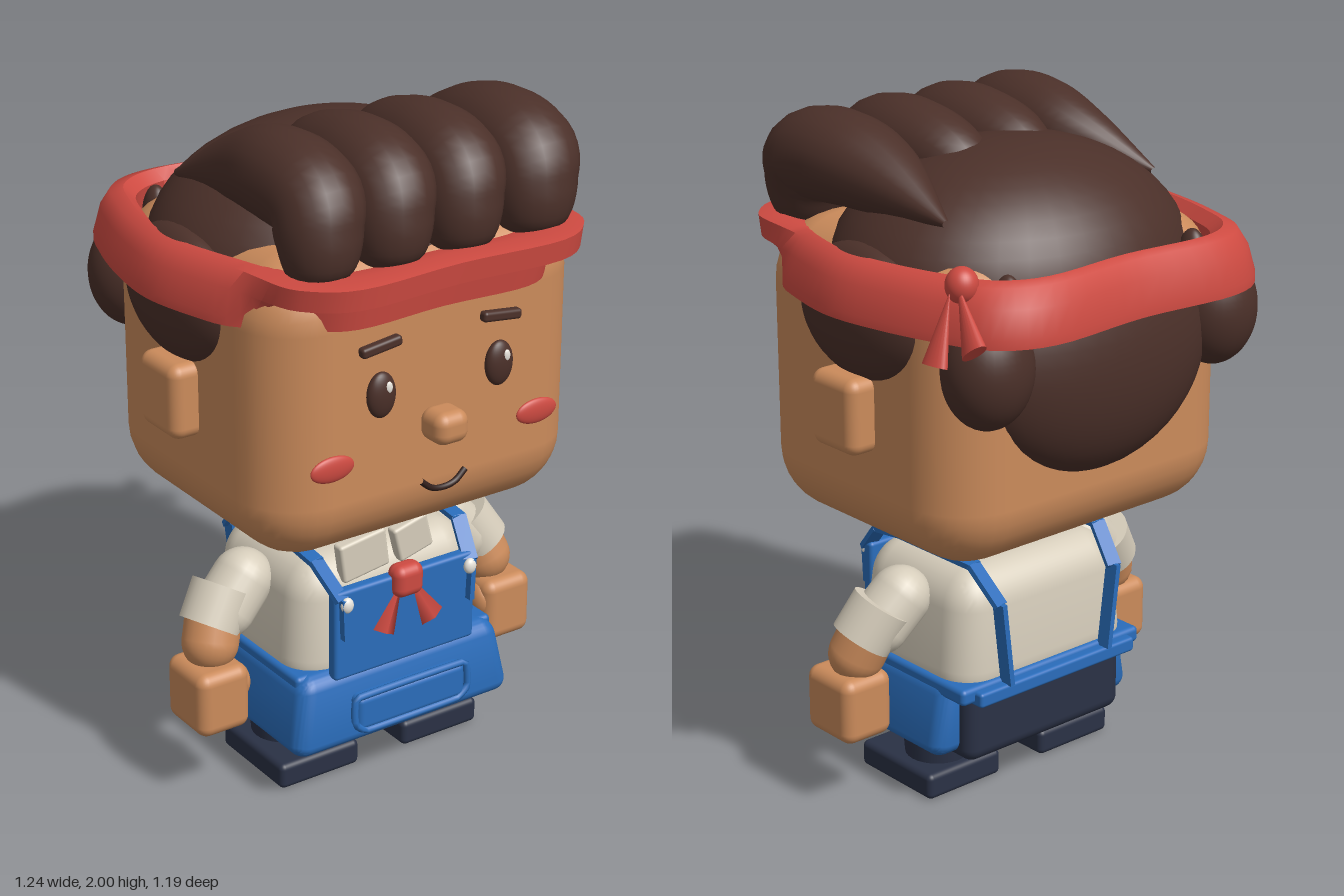
import * as THREE from 'three';
import { RoundedBoxGeometry } from 'three/addons/geometries/RoundedBoxGeometry.js';
import { toCreasedNormals } from 'three/addons/utils/BufferGeometryUtils.js';

const V = (x, y, z) => new THREE.Vector3(x, y, z);
const colours = {
  skin: 0xcb8b5b, hair: 0x4b3029, red: 0xcd4a41, blue: 0x2a6dbb,
  cream: 0xd6cdbb, navy: 0x2a3145, white: 0xf0ece4, mouth: 0x33201c,
};
const mats = {};
for (const [name, color] of Object.entries(colours)) {
  mats[name] = new THREE.MeshStandardMaterial({ color });
  mats[name].name = name;
}

// Closed-around surface from a rule fn(u, v); v always wraps, u wraps if asked
function surface(nu, nv, wrapU, fn) {
  const pos = [], idx = [];
  const rows = wrapU ? nu : nu + 1;
  for (let i = 0; i < rows; i++)
    for (let j = 0; j < nv; j++) pos.push(...fn(i / nu, j / nv).toArray());
  for (let i = 0; i < nu; i++)
    for (let j = 0; j < nv; j++) {
      const k = (i + 1) % rows, l = (j + 1) % nv;
      const a = i * nv + j, b = i * nv + l, c = k * nv + l, d = k * nv + j;
      idx.push(a, b, d, b, c, d);
    }
  const g = new THREE.BufferGeometry();
  g.setAttribute('position', new THREE.Float32BufferAttribute(pos, 3));
  g.setIndex(idx);
  g.computeVertexNormals();
  return g;
}

// Hair lock: a swept tube swelling at the front and tapering to the crown
function lockGeometry(x, width, backZ, tipX) {
  const rows = [[0.43, 1.64, 0], [0.43, 1.67, 0.085], [0.415, 1.77, 0.118], [0.36, 1.85, 0.13],
    [0.2, 1.87, 0.13], [0.02, 1.84, 0.1], [backZ, 1.78, 0.01]];
  const lean = [-0.01, -0.01, 0, 0.02, 0.025, 0.02, tipX - x];
  const path = new THREE.CatmullRomCurve3(rows.map((r, i) => V(x + lean[i], r[1], r[0])), false, 'catmullrom');
  const radius = new THREE.CatmullRomCurve3(rows.map(r => V(r[2], 0, 0)), false, 'catmullrom');
  return surface(36, 20, false, (u, v) => {
    const p = path.getPoint(u), t = path.getTangent(u).setX(0).normalize();
    const n = t.cross(V(1, 0, 0)), r = Math.max(0.0005, radius.getPoint(u).x), a = v * Math.PI * 2;
    return p.addScaledVector(n, r * Math.sin(a)).add(V(r * width * Math.cos(a), 0, 0));
  });
}

// Headband: folded section carried round a soft square outline, raised at the front
function bandGeometry() {
  const half = [[0.32, -0.6], [0.48, -0.53], [0.55, -0.38], [0.6, -0.19], [0.62, 0],
    [0.58, 0.2], [0.52, 0.38], [0.46, 0.51], [0.32, 0.59]];
  const pts = [[0, -0.58], ...half, [0, 0.575], ...half.slice().reverse().map(([x, z]) => [-x, z])];
  const outline = new THREE.CatmullRomCurve3(pts.map(([x, z]) => V(x, 0, z)), true, 'catmullrom');
  const side = [[0.84, 1.52], [1, 1.52], [1, 1.545], [0.97, 1.62], [0.925, 1.67], [0.87, 1.68], [0.82, 1.65]];
  const front = [[0.74, 1.52], [0.85, 1.52], [0.87, 1.6], [0.99, 1.61], [1, 1.67], [0.9, 1.68], [0.76, 1.66]];
  const g = surface(96, 7, true, (u, v) => {
    const p = outline.getPoint(u), j = Math.round(v * 7);
    const f = THREE.MathUtils.smoothstep(p.z, 0.25, 0.5);
    const s = THREE.MathUtils.lerp(side[j][0], front[j][0], f);
    return V(p.x * s, THREE.MathUtils.lerp(side[j][1], front[j][1], f), p.z * s);
  });
  return toCreasedNormals(g, 0.9);
}

export function createModel() {
  const model = new THREE.Group();
  model.name = 'figure';
  const add = (name, geo, mat, p = [0, 0, 0], rot = [0, 0, 0], scale = [1, 1, 1]) => {
    const m = new THREE.Mesh(geo, mats[mat]);
    m.name = name;
    m.position.set(...p);
    m.rotation.set(...rot);
    m.scale.set(...scale);
    model.add(m);
    return m;
  };
  const box = (name, mat, p, size, r = 0.02, rot) => add(name, new RoundedBoxGeometry(...size, 4, r), mat, p, rot);
  const ball = (name, mat, p, radii, rot) => add(name, new THREE.SphereGeometry(1, 36, 24), mat, p, rot, radii);
  const tube = (name, mat, pts, r, closed = false, tension = 0.5) => add(name,
    new THREE.TubeGeometry(new THREE.CatmullRomCurve3(pts.map(p => V(...p)), closed, 'catmullrom', tension), 48, r, 8, closed), mat);
  // Stretches a shape made along y between two points
  const between = (name, mat, geo, a, b, scale = [1, 1, 1]) => {
    const A = V(...a), B = V(...b), m = add(name, geo, mat, [0, 0, 0], [0, 0, 0], scale);
    m.position.copy(A).add(B).multiplyScalar(0.5);
    m.quaternion.setFromUnitVectors(V(0, 1, 0), B.sub(A).normalize());
    return m;
  };

  // Head and face
  box('head', 'skin', [0, 1.26, 0.02], [1.06, 0.88, 0.9], 0.19);
  box('nose', 'skin', [0, 1.183, 0.505], [0.11, 0.095, 0.11], 0.035);
  tube('mouth', 'mouth', [[-0.075, 1.03, 0.503], [-0.04, 1.003, 0.505], [0, 0.995, 0.505], [0.04, 1.003, 0.505], [0.075, 1.03, 0.503]], 0.009);
  box('neck', 'skin', [0, 0.75, 0.02], [0.24, 0.2, 0.24], 0.04);
  for (const s of [-1, 1]) {
    box('ear', 'skin', [s * 0.555, 1.235, 0.005], [0.11, 0.22, 0.19], 0.035);
    ball('eye', 'hair', [s * 0.197, 1.31, 0.485], [0.045, 0.066, 0.025]);
    ball('eyeGlint', 'white', [s * 0.197 + 0.012, 1.335, 0.505], [0.011, 0.017, 0.006]);
    box('eyebrow', 'hair', [s * 0.2, 1.45, 0.485], [0.13, 0.03, 0.03], 0.01, [0, 0, -s * 0.12]);
    ball('cheek', 'red', [s * 0.345, 1.125, 0.472], [0.07, 0.037, 0.014]);
    // Hair over the ears and at the back corners
    ball('sideHair', 'hair', [s * 0.5, 1.51, -0.02], [0.1, 0.19, 0.255]);
    ball('cornerHair', 'hair', [s * 0.42, 1.43, -0.43], [0.13, 0.165, 0.12]);
    ball('crownTuft', 'hair', [s * 0.34, 1.57, -0.42], [0.04, 0.1, 0.05]);
  }

  // Hair
  ball('hairDome', 'hair', [0, 1.55, -0.04], [0.55, 0.37, 0.46]);
  ball('backHair', 'hair', [0, 1.37, -0.38], [0.4, 0.33, 0.18]);
  for (const [x, w, back, tip] of [[-0.345, 1, -0.2, -0.4], [-0.12, 1, -0.08, -0.1], [0.11, 1, -0.08, 0.12], [0.355, 1.08, -0.24, 0.4]])
    add('hairLock', lockGeometry(x, w, back, tip), 'hair');

  // Headband with its knot and two tails
  add('headband', bandGeometry(), 'red');
  ball('headbandKnot', 'red', [0.49, 1.67, -0.41], [0.045, 0.05, 0.045]);
  const tail = len => new THREE.ConeGeometry(0.045, len, 20);
  between('headbandTail', 'red', tail(0.2), [0.59, 1.48, -0.42], [0.53, 1.66, -0.41], [0.5, 1, 1]);
  between('headbandTail', 'red', tail(0.2), [0.555, 1.54, -0.53], [0.51, 1.67, -0.42], [0.5, 1, 1]);

  // Shirt, collar and neckerchief
  const shirt = new RoundedBoxGeometry(0.68, 0.4, 0.53, 6, 0.11);
  const sp = shirt.attributes.position;
  for (let i = 0; i < sp.count; i++) {
    const k = 1 - 0.12 * (sp.getY(i) / 0.4 + 0.5);
    sp.setX(i, sp.getX(i) * k);
    sp.setZ(i, sp.getZ(i) * k);
  }
  shirt.computeVertexNormals();
  add('shirt', toCreasedNormals(shirt, 1), 'cream', [0, 0.515, 0.035]);
  box('collar', 'cream', [-0.1, 0.715, 0.26], [0.16, 0.12, 0.04], 0.01, [0, 0, 0.14]);
  box('collar', 'cream', [0.07, 0.725, 0.26], [0.12, 0.11, 0.04], 0.01, [0, 0, 0.25]);
  box('neckerchiefKnot', 'red', [0, 0.64, 0.335], [0.1, 0.1, 0.07], 0.03);
  for (const s of [-1, 1])
    between('neckerchiefTail', 'red', new THREE.ConeGeometry(0.04, 0.16, 4), [s * 0.085, 0.5, 0.35], [s * 0.015, 0.64, 0.34], [1, 1, 0.4]);

  // Dungarees: flared front, bib, pocket and waistband
  const skirt = new RoundedBoxGeometry(0.73, 0.24, 0.51, 5, 0.05);
  const p = skirt.attributes.position;
  for (let i = 0; i < p.count; i++) {
    const k = 1 - 0.5 * p.getY(i);
    p.setX(i, p.getX(i) * k);
    p.setZ(i, p.getZ(i) * (p.getZ(i) > 0 ? k : 1));
  }
  skirt.computeVertexNormals();
  add('dungareeFront', toCreasedNormals(skirt, 1), 'blue', [0, 0.28, 0.09]);
  box('bib', 'blue', [0, 0.52, 0.32], [0.49, 0.28, 0.04], 0.012);
  box('waistband', 'blue', [0, 0.375, 0.03], [0.69, 0.05, 0.53], 0.015);
  box('backWaistband', 'blue', [0, 0.365, -0.235], [0.6, 0.045, 0.055], 0.01);
  box('pocket', 'blue', [0, 0.27, 0.35], [0.38, 0.11, 0.06], 0.02);
  tube('pocketRim', 'blue', [[-0.16, 0.215, 0.375], [0.16, 0.215, 0.375], [0.2, 0.245, 0.375], [0.19, 0.325, 0.37],
    [-0.19, 0.325, 0.37], [-0.2, 0.245, 0.375]], 0.011, true, 0.1);
  box('seat', 'navy', [0, 0.265, 0.005], [0.6, 0.25, 0.43], 0.04);

  for (const s of [-1, 1]) {
    // Braces over each shoulder
    const strap = [[0.22, 0.52, 0.34], [0.225, 0.64, 0.34], [0.25, 0.73, 0.25], [0.25, 0.743, 0.14],
      [0.24, 0.738, -0.16], [0.22, 0.64, -0.25], [0.19, 0.39, -0.25]];
    for (let i = 0; i < strap.length - 1; i++) {
      const a = strap[i], b = strap[i + 1];
      const len = V(...a).distanceTo(V(...b)) + 0.008;
      const m = between('brace', 'blue', new THREE.BoxGeometry(0.045, 0.016, len), [s * a[0], a[1], a[2]], [s * b[0], b[1], b[2]]);
      m.lookAt(s * b[0], b[1], b[2]);
    }
    ball('button', 'white', [s * 0.215, 0.625, 0.355], [0.02, 0.024, 0.015]);

    // Arms and hands
    between('sleeve', 'cream', new THREE.CapsuleGeometry(0.09, 0.1, 8, 24), [s * 0.36, 0.61, 0.03], [s * 0.42, 0.55, 0.04]);
    between('sleeveCuff', 'cream', new THREE.CylinderGeometry(0.09, 0.092, 0.12, 28), [s * 0.425, 0.6, 0.03], [s * 0.48, 0.515, 0.05]);
    between('forearm', 'skin', new THREE.CapsuleGeometry(0.083, 0.08, 8, 24), [s * 0.46, 0.54, 0.04], [s * 0.49, 0.46, 0.065]);
    box('hand', 'skin', [s * 0.507, 0.32, 0.08], [0.17, 0.2, 0.2], 0.035);
    ball('thumb', 'skin', [s * 0.432, 0.35, 0.12], [0.03, 0.052, 0.045]);

    // Legs and shoes
    add('leg', new THREE.CylinderGeometry(0.105, 0.095, 0.12, 28), 'navy', [s * 0.22, 0.12, 0.03]);
    box('shoe', 'navy', [s * 0.217, 0.04, 0.065], [0.275, 0.08, 0.32], 0.018);
  }
  return model;
}
